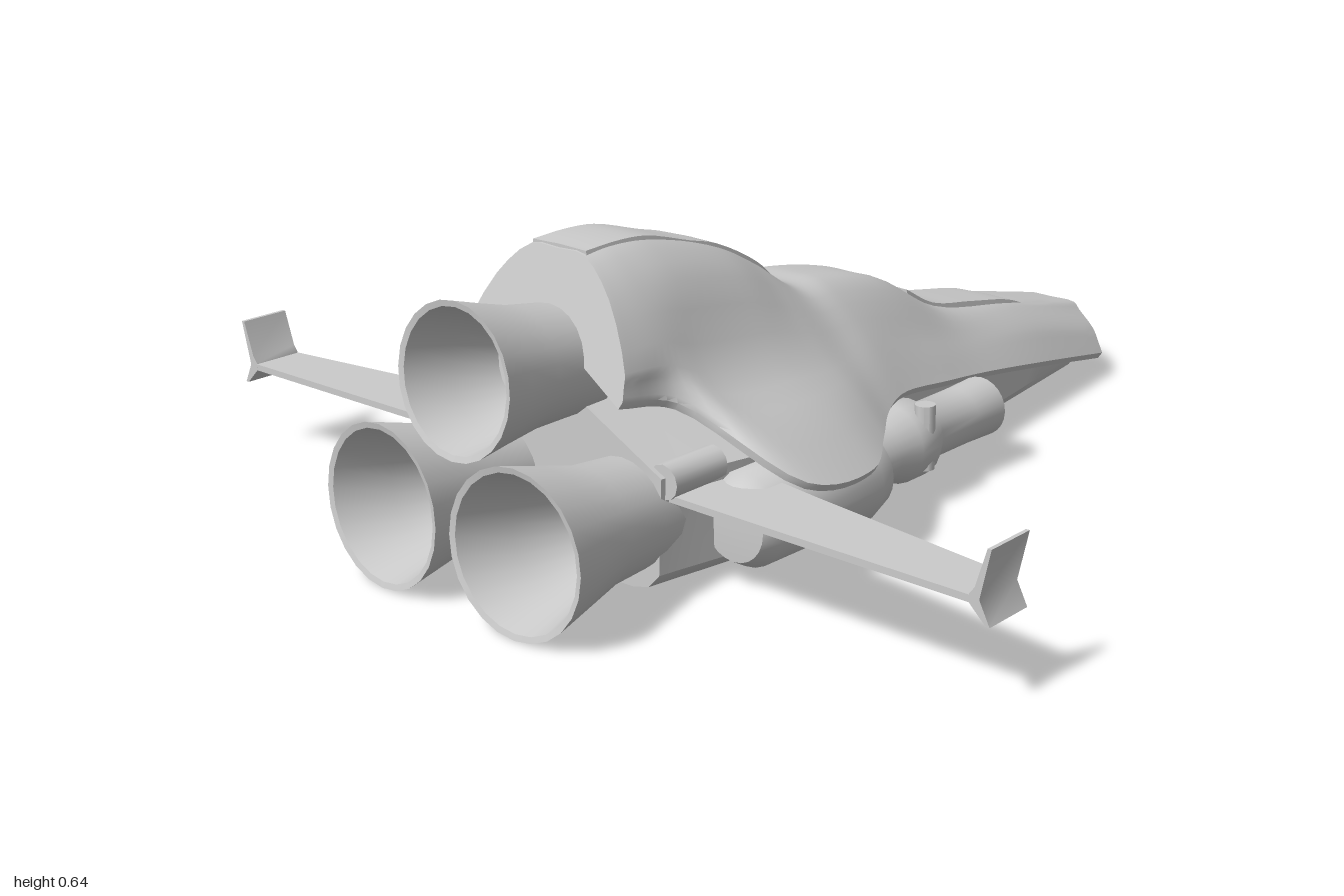
import * as THREE from 'three';
import { toCreasedNormals } from 'three/addons/utils/BufferGeometryUtils.js';

const material = new THREE.MeshStandardMaterial({ color: 0xcccccc, side: THREE.DoubleSide });
const V = (x, y, z) => new THREE.Vector3(x, y, z);
const lerp = THREE.MathUtils.lerp;

function add(parent, name, geometry, crease = 0.7) {
  const mesh = new THREE.Mesh(toCreasedNormals(geometry, crease), material);
  mesh.name = name;
  parent.add(mesh);
  return mesh;
}

// Mirrors a half section (top centre to bottom centre, +z side) into a ring
const mirrorRing = half => [...half, ...half.slice(1, -1).reverse().map(p => V(p.x, p.y, -p.z))];

// Skins rings running from back to front, smoothing each rail along the length
function loft(rings, steps) {
  const n = rings[0].length;
  const rails = rings[0].map((_, j) => new THREE.CatmullRomCurve3(rings.map(r => r[j]), false, 'centripetal'));
  const pos = [], idx = [];
  for (let i = 0; i <= steps; i++) {
    const t = i / steps;
    for (const rail of rails) pos.push(...rail.getPoint(t).toArray());
  }
  for (let i = 0; i < steps; i++) for (let j = 0; j < n; j++) {
    const a = i * n + j, c = i * n + (j + 1) % n;
    idx.push(a, c, a + n, c, c + n, a + n);
  }
  for (const [row, front] of [[0, false], [steps, true]]) {
    const ring = rings[front ? rings.length - 1 : 0];
    const centre = ring.reduce((s, p) => s.add(p), V(0, 0, 0)).divideScalar(n);
    const c = pos.length / 3;
    pos.push(...centre.toArray());
    for (let j = 0; j < n; j++) {
      const a = row * n + j, b = row * n + (j + 1) % n;
      front ? idx.push(c, a, b) : idx.push(c, b, a);
    }
  }
  const g = new THREE.BufferGeometry();
  g.setAttribute('position', new THREE.Float32BufferAttribute(pos, 3));
  g.setIndex(idx);
  return g;
}

// Turned part along x, from [x, radius] pairs
function turned(profile, sides = 24) {
  return new THREE.LatheGeometry(profile.map(([x, r]) => new THREE.Vector2(r, x)), sides).rotateZ(-Math.PI / 2);
}

// x, top height, shoulder (z, y), dome foot (z, y), skirt edge (z, y)
const STATIONS = [
  [-0.685, 0.65, 0.15, 0.58, 0.215, 0.46, 0.22, 0.41],
  [-0.62, 0.655, 0.15, 0.585, 0.22, 0.45, 0.24, 0.38],
  [-0.52, 0.648, 0.15, 0.58, 0.235, 0.41, 0.47, 0.25],
  [-0.32, 0.592, 0.14, 0.54, 0.24, 0.39, 0.47, 0.22],
  [-0.2, 0.53, 0.13, 0.49, 0.24, 0.37, 0.4, 0.235],
  [-0.1, 0.468, 0.13, 0.445, 0.22, 0.36, 0.335, 0.245],
  [0, 0.46, 0.12, 0.435, 0.2, 0.36, 0.295, 0.25],
  [0.2, 0.415, 0.11, 0.39, 0.18, 0.31, 0.265, 0.22],
  [0.4, 0.31, 0.12, 0.292, 0.17, 0.25, 0.235, 0.185],
  [0.7, 0.25, 0.1, 0.235, 0.15, 0.2, 0.205, 0.13],
  [0.96, 0.182, 0.09, 0.165, 0.14, 0.13, 0.18, 0.08],
];

function upperHull() {
  const last = STATIONS.length - 1;
  return loft(STATIONS.map(([x, top, sz, sy, dz, dy, ez, ey], i) => {
    const outline = new THREE.CatmullRomCurve3([
      V(x, top, 0), V(x, top - 0.002, 0.07), V(x, sy, sz), V(x, dy, dz),
      V(x, lerp(dy, ey, 0.5), lerp(dz, ez, 0.52)), V(x, ey, ez)]).getPoints(15);
    const half = [...outline, V(x, ey - 0.014, ez - 0.008), V(x, ey + 0.005, ez * 0.88),
      V(x, lerp(ey, top, 0.25), ez * 0.5), V(x, lerp(ey, top, 0.5), 0)];
    // Raked tail and nose ends
    for (const p of half) {
      if (i === 0) p.x -= (0.65 - p.y) * 0.25;
      if (i === last) p.x += (p.y - 0.08) * 0.38;
    }
    return mirrorRing(half);
  }), 60);
}

// x, floor half width, chine half width, side (z, y), centre top height
const LOWER = [
  [-0.7, 0.19, 0.26, 0.27, 0.26, 0.4],
  [-0.4, 0.22, 0.31, 0.31, 0.25, 0.4],
  [-0.1, 0.18, 0.27, 0.27, 0.25, 0.33],
  [0.2, 0.15, 0.22, 0.225, 0.215, 0.3],
  [0.6, 0.1, 0.165, 0.17, 0.155, 0.2],
  [0.95, 0.065, 0.11, 0.12, 0.1, 0.155],
];
const lowerHull = () => loft(LOWER.map(([x, fz, cz, sz, sy, top]) => mirrorRing([
  V(x, top, 0), V(x, lerp(top, sy, 0.5), sz * 0.5), V(x, sy, sz), V(x, 0.065, cz),
  V(x, 0.035, lerp(fz, cz, 0.6)), V(x, 0.025, fz), V(x, 0.023, 0)])), 30);

function topAt(x) {
  const i = Math.max(1, STATIONS.findIndex(s => s[0] >= x));
  const [a, b] = [STATIONS[i - 1], STATIONS[i]];
  return lerp(a[1], b[1], (x - a[0]) / (b[0] - a[0]));
}

// Shallow raised strip following the crown of the hull
const strip = (xs, w, lift) => loft(xs.map((x, i) => {
  const y = topAt(x) + (i === xs.length - 1 ? -0.006 : lift);
  return mirrorRing([V(x, y, 0), V(x, y - 0.002, w), V(x, y - 0.035, w + 0.008), V(x, y - 0.035, 0)]);
}), 24);

// Hollow bell nozzle, throat forward, exit aft
const nozzle = (len, throat, exit) => turned([
  [0.08, throat * 0.95], [0, throat], [-len * 0.35, throat * 1.06], [-len * 0.7, lerp(throat, exit, 0.6)],
  [-len, exit], [-len + 0.003, exit - 0.012], [-len * 0.6, throat * 1.05], [-len * 0.2, throat * 0.75], [-len * 0.15, 0]]);

export function createModel() {
  const model = new THREE.Group();
  model.name = 'spacecraft';
  add(model, 'upperHull', upperHull());
  add(model, 'lowerHull', lowerHull(), 0.6);
  add(model, 'dorsalSpine', strip([-0.68, -0.6, -0.52, -0.4, -0.32, -0.2, -0.14], 0.07, 0.007));
  add(model, 'canopyRidge', strip([0.3, 0.4, 0.55, 0.7, 0.8], 0.075, 0.006));

  const topNozzle = add(model, 'upperNozzle', nozzle(0.235, 0.112, 0.15));
  topNozzle.position.set(-0.72, 0.437, 0);
  topNozzle.rotation.z = -0.08;

  for (const s of [1, -1]) {
    const side = new THREE.Group();
    side.name = s > 0 ? 'leftSide' : 'rightSide';
    model.add(side);

    const bell = add(side, 'lowerNozzle', nozzle(0.285, 0.112, 0.163));
    bell.position.set(-0.705, 0.168, s * 0.17);
    bell.rotation.set(0, s * 0.04, -0.04);

    // Side pod with a stepped, hollow intake in front
    const pod = add(side, 'sidePod', turned([
      [-0.58, 0], [-0.575, 0.075], [-0.54, 0.095], [-0.24, 0.1], [-0.19, 0.085], [-0.18, 0]]));
    pod.position.set(0, 0.148, s * 0.333);
    const intake = add(side, 'intakeTube', turned([
      [-0.25, 0.075], [-0.08, 0.07], [-0.03, 0.085], [0.03, 0.085], [0.07, 0.062], [0.2, 0.062],
      [0.29, 0.065], [0.29, 0.054], [0.1, 0.045], [0.1, 0]]));
    intake.position.set(0, 0.145, s * 0.288);
    const collar = add(side, 'intakeCollar', new THREE.CylinderGeometry(0.022, 0.022, 0.14, 12));
    collar.position.set(0.01, 0.165, s * 0.345);

    // Thin tapered wing on a hinge fairing
    const plan = new THREE.Shape([[-0.68, 0.2], [-0.5, 0.2], [-0.5, 0.4], [-0.513, 0.48],
      [-0.58, 0.965], [-0.69, 0.965], [-0.685, 0.48]].map(([x, z]) => new THREE.Vector2(x, z * s)));
    const wing = add(side, 'wing', new THREE.ExtrudeGeometry(plan, { depth: 0.014, bevelEnabled: false }).rotateX(Math.PI / 2));
    wing.position.y = 0.224;
    const hinge = add(side, 'wingHinge', new THREE.CylinderGeometry(0.035, 0.035, 0.14, 12).rotateZ(Math.PI / 2));
    hinge.position.set(-0.62, 0.25, s * 0.265);

    // Chevron winglet at the tip
    const chevron = new THREE.Shape([[0.955, 0.226], [0.966, 0.24], [0.99, 0.315], [0.998, 0.315],
      [0.976, 0.22], [0.998, 0.176], [0.99, 0.176], [0.955, 0.21]].map(([z, y]) => new THREE.Vector2(z * s, y)));
    const winglet = add(side, 'winglet', new THREE.ExtrudeGeometry(chevron, { depth: 0.11, bevelEnabled: false }).rotateY(-Math.PI / 2));
    winglet.position.x = -0.58;
  }
  return model;
}
